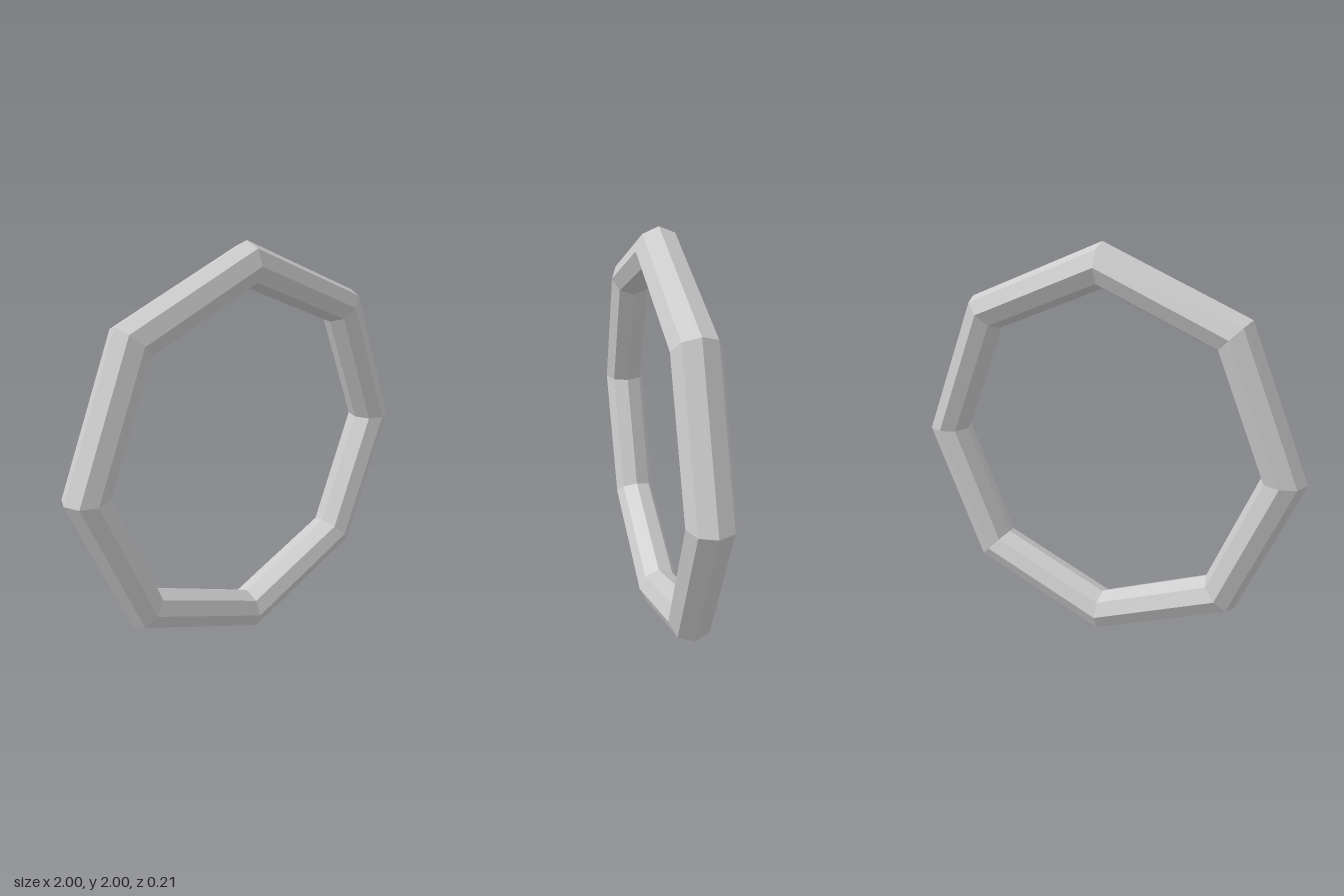
import * as THREE from 'three';

export function createModel() {
  const group = new THREE.Group();
  const tube = 0.105;
  const material = new THREE.MeshStandardMaterial({ color: 0xcccccc, flatShading: true });

  // Upright eight-sided ring with an octagonal cross-section
  const ring = new THREE.Mesh(new THREE.TorusGeometry(1 - tube, tube, 8, 8), material);
  ring.name = 'ring';
  ring.position.y = 1;
  group.add(ring);

  return group;
}
